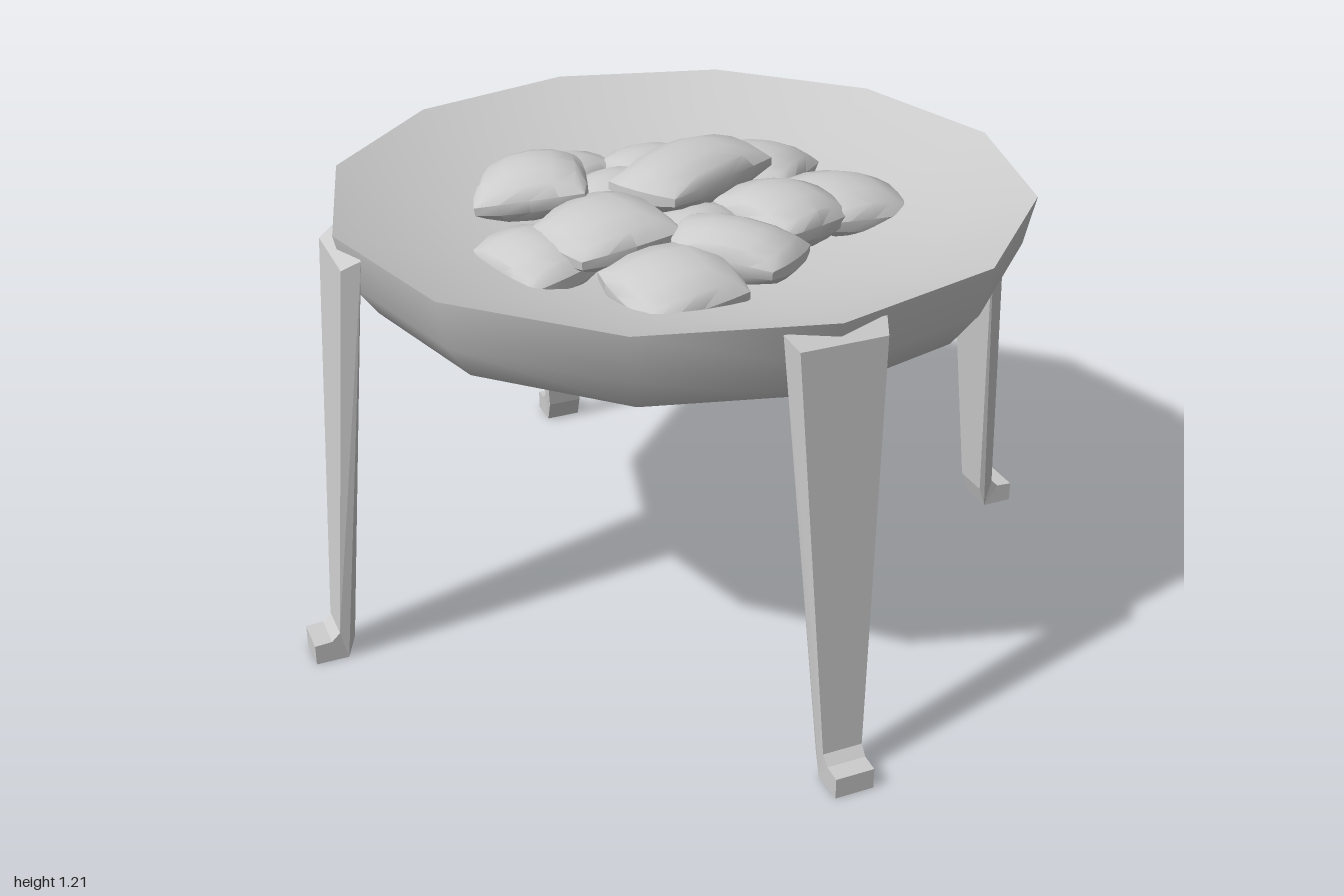
import * as THREE from 'three';
import { toCreasedNormals } from 'three/addons/utils/BufferGeometryUtils.js';

const mat = new THREE.MeshStandardMaterial({ color: 0xcccccc });
const rad = THREE.MathUtils.degToRad;
const lerp = THREE.MathUtils.lerp;

function add(parent, name, geometry) {
  const mesh = new THREE.Mesh(geometry, mat);
  mesh.name = name;
  parent.add(mesh);
  return mesh;
}

// Twelve-sided shell turned from [radius, height] points
function shell(points) {
  return new THREE.LatheGeometry(points.map(([r, y]) => new THREE.Vector2(r, y)), 12);
}

// Splayed leg: side profile extruded, then narrowed towards the foot
function legGeometry() {
  const profile = [
    [0.955, 0], [1.04, 0], [1.04, 0.055], [0.995, 0.058], [0.973, 0.08],
    [0.897, 1.11], [0.852, 1.135], [0.935, 0.06],
  ];
  const shape = new THREE.Shape(profile.map(([r, y]) => new THREE.Vector2(r, y)));
  const geo = new THREE.ExtrudeGeometry(shape, { depth: 1, bevelEnabled: false });
  const p = geo.attributes.position;
  for (let i = 0; i < p.count; i++) {
    const t = THREE.MathUtils.clamp((p.getY(i) - 0.06) / 1.07, 0, 1);
    const top = p.getX(i) < 0.86 ? 0.25 : 0.215;
    p.setZ(i, (p.getZ(i) - 0.5) * lerp(0.1, top, t));
  }
  geo.computeVertexNormals();
  return geo;
}

// Coal lump: a box with rounded edges, domed top and a slight taper
function coalGeometry(width, depth, taper) {
  const geo = new THREE.BoxGeometry(2, 2, 2, 4, 3, 4);
  const p = geo.attributes.position;
  for (let i = 0; i < p.count; i++) {
    const u = p.getX(i), v = p.getY(i), w = p.getZ(i);
    const dome = (1 - u * u * 0.35) * (1 - w * w * 0.35);
    const k = (1 - 0.1 * u * u * w * w) * (Math.abs(v) > 0.9 ? 0.86 : 1.03);
    p.setXYZ(i, u * k * (1 + taper * w) * width / 2, v * dome * 0.073, w * k * depth / 2);
  }
  return toCreasedNormals(geo, rad(38));
}

// Each coal: x, z, width, depth, turn in degrees, top height
const COALS = [
  [-0.1, -0.38, 0.27, 0.29, 22, 1.13],
  [0.21, -0.39, 0.28, 0.29, -17, 1.12],
  [-0.3, -0.18, 0.26, 0.28, -8, 1.12],
  [0.19, -0.18, 0.27, 0.27, -3, 1.15],
  [-0.44, 0.03, 0.24, 0.27, 8, 1.11],
  [-0.21, 0.03, 0.22, 0.25, 0, 1.13],
  [0.1, 0.03, 0.2, 0.25, 0, 1.12],
  [0, 0.26, 0.29, 0.3, -7, 1.165],
  [0.28, 0.28, 0.28, 0.29, -15, 1.12],
  [-0.07, 0.42, 0.3, 0.22, -8, 1.11],
  [0.28, 0.08, 0.31, 0.2, 25, 1.155],
  [-0.28, 0.25, 0.27, 0.26, 48, 1.205],
  [-0.05, -0.08, 0.24, 0.43, 10, 1.215],
];

export function createModel() {
  const group = new THREE.Group();

  // Shallow bowl with a knife-edge rim
  const bowl = new THREE.Group();
  bowl.name = 'bowl';
  bowl.rotation.y = rad(10);
  add(bowl, 'bowlOutside', shell([
    [0, 0.862], [0.35, 0.864], [0.63, 0.88], [0.79, 0.935], [0.86, 1.03], [0.887, 1.155],
  ]));
  add(bowl, 'bowlInside', shell([
    [0.887, 1.155], [0.7, 1.085], [0.45, 1.025], [0.2, 0.995], [0, 0.99],
  ]));
  group.add(bowl);

  // Four legs, one under every third corner of the bowl
  const leg = legGeometry();
  for (let i = 0; i < 4; i++) {
    add(group, 'leg' + (i + 1), leg).rotation.y = rad(-20 + 90 * i);
  }

  // Heap of coals, each leaning slightly away from the middle
  const coals = new THREE.Group();
  coals.name = 'coals';
  COALS.forEach(([x, z, width, depth, turn, top], i) => {
    const coal = add(coals, 'coal' + (i + 1), coalGeometry(width, depth, 0.12 * Math.sin(i * 2.4)));
    coal.position.set(x, top - 0.073, z);
    coal.rotation.set(z * 0.3, rad(turn), -x * 0.3);
  });
  group.add(coals);

  return group;
}
